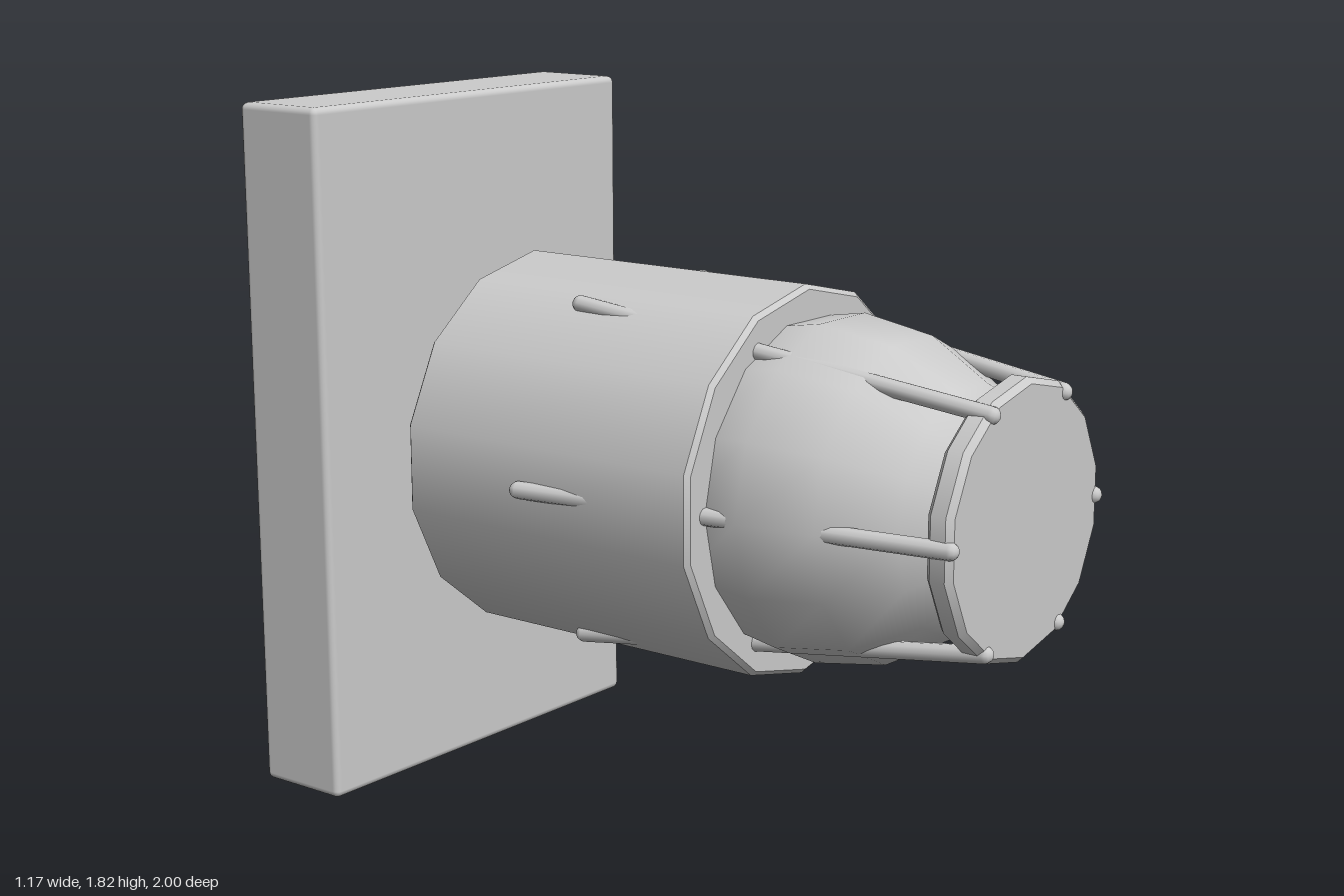
import * as THREE from 'three';
import { RoundedBoxGeometry } from 'three/addons/geometries/RoundedBoxGeometry.js';

const AXIS_Y = 0.912; // height of the round body's axis
const SIDES = 14;

export function createModel() {
  const model = new THREE.Group();
  const material = new THREE.MeshStandardMaterial({ color: 0xcccccc });

  const add = (name, geometry, y = AXIS_Y, z = 0) => {
    const mesh = new THREE.Mesh(geometry, material);
    mesh.name = name;
    mesh.position.set(0, y, z);
    model.add(mesh);
    return mesh;
  };

  // Closed drum along z with a small bevel; each profile section has its own normals
  const drum = (name, radius, z0, z1, bevel) => {
    const p = [
      [0, z0], [radius - bevel, z0], [radius, z0 + bevel],
      [radius, z1 - bevel], [radius - bevel, z1], [0, z1],
    ].map(([r, z]) => new THREE.Vector2(r, z));
    const group = new THREE.Group();
    group.name = name;
    group.position.y = AXIS_Y;
    for (let i = 0; i < p.length - 1; i++) {
      const section = new THREE.LatheGeometry([p[i], p[i + 1]], SIDES).rotateX(Math.PI / 2);
      group.add(new THREE.Mesh(section, material));
    }
    model.add(group);
  };

  // Upright mounting plate behind the body
  add('backPlate', new RoundedBoxGeometry(1.175, 1.815, 0.27, 2, 0.018), 0.9075, -0.865);

  // Main housing and front disc
  drum('housing', 0.497, -0.54, 0.358, 0.012);
  drum('frontDisc', 0.345, 0.915, 0.985, 0.015);

  // Stretched dome emerging from the housing
  const dome = new THREE.SphereGeometry(0.435, SIDES, 8);
  dome.rotateX(Math.PI / 2).scale(1, 1, 1.2);
  add('dome', dome, AXIS_Y, 0.457);

  // Six straight rods converging towards the front disc
  const back = new THREE.Vector3(0.494, 0, -0.16);
  const front = new THREE.Vector3(0.327, 0, 0.977);
  const direction = front.clone().sub(back);
  const rod = new THREE.CapsuleGeometry(0.022, direction.length(), 4, 10);
  rod.applyQuaternion(new THREE.Quaternion().setFromUnitVectors(
    new THREE.Vector3(0, 1, 0), direction.clone().normalize()));
  rod.translate(...back.clone().add(front).multiplyScalar(0.5).toArray());
  for (let i = 0; i < 6; i++) add('rod' + (i + 1), rod).rotation.z = (i * Math.PI) / 3;

  return model;
}
